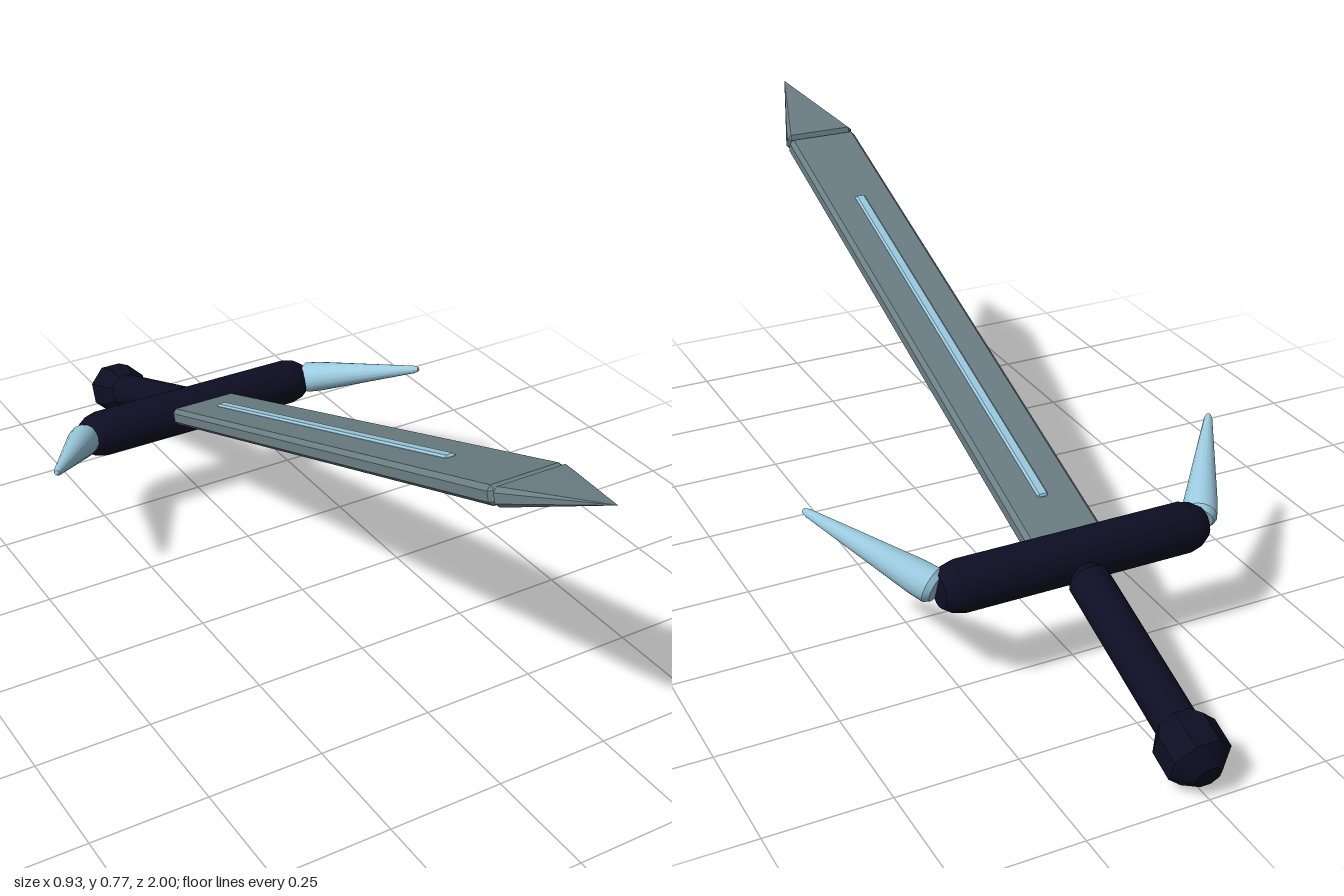
import * as THREE from 'three';
import { toCreasedNormals } from 'three/addons/utils/BufferGeometryUtils.js';
import { ConvexGeometry } from 'three/addons/geometries/ConvexGeometry.js';

const mat = (name, color) => {
  const m = new THREE.MeshStandardMaterial({ color });
  m.name = name;
  return m;
};

// Turned part from [radius, height] pairs, listed bottom to top
const turned = (profile, sides, crease = 0.6) =>
  toCreasedNormals(
    new THREE.LatheGeometry(profile.map(([r, y]) => new THREE.Vector2(r, y)), sides),
    crease
  );

// Box with every edge cut at 45 degrees, given half sizes and cut width
const chamferBox = (x, y, z, b) => {
  const pts = [];
  for (const i of [-1, 1]) for (const j of [-1, 1]) for (const k of [-1, 1]) {
    pts.push(
      new THREE.Vector3(i * x, j * (y - b), k * (z - b)),
      new THREE.Vector3(i * (x - b), j * y, k * (z - b)),
      new THREE.Vector3(i * (x - b), j * (y - b), k * z)
    );
  }
  return new ConvexGeometry(pts);
};

export function createModel() {
  const steel = mat('steel grey', 0x6b7e84);
  const ice = mat('pale blue', 0x9ccbe0);
  const dark = mat('midnight navy', 0x0e0e24);

  // The sword is built upright, with the guard at the origin, then tilted forward
  const sword = new THREE.Group();
  sword.name = 'sword';
  const add = (name, geometry, material, y = 0) => {
    const mesh = new THREE.Mesh(geometry, material);
    mesh.name = name;
    mesh.position.y = y;
    sword.add(mesh);
    return mesh;
  };

  // Blade with a raised strip showing on both faces
  const w = 0.082, t = 0.019, cut = 0.009;
  add('blade', chamferBox(w, 0.674, t, cut), steel, 0.674);
  add('bladeStrip', chamferBox(0.012, 0.482, 0.024, 0.004), ice, 0.625);

  // Pointed tip with a chamfered base
  const tip = [new THREE.Vector3(0, 0.243, 0)];
  for (const i of [-1, 1]) for (const k of [-1, 1]) {
    tip.push(
      new THREE.Vector3(i * (w - cut), 0, k * (t - cut)),
      new THREE.Vector3(i * w, cut, k * (t - cut)),
      new THREE.Vector3(i * (w - cut), cut, k * t)
    );
  }
  add('bladeTip', new ConvexGeometry(tip), steel, 1.349);

  // Crossguard
  const guard = turned([[0, -0.29], [0.034, -0.29], [0.046, -0.272], [0.053, -0.245],
    [0.053, 0.245], [0.046, 0.272], [0.034, 0.29], [0, 0.29]], 16, 0.45);
  add('crossguard', guard, dark).rotation.z = Math.PI / 2;

  // Grip and pommel
  add('grip', turned([[0, -0.44], [0.042, -0.44], [0.042, -0.062], [0.03, -0.045],
    [0, -0.045]], 16, 0.45), dark);
  add('pommel', turned([[0, -0.062], [0.028, -0.062], [0.064, -0.03], [0.064, 0.03],
    [0.04, 0.062], [0, 0.062]], 8), dark, -0.468).rotation.y = Math.PI / 8;

  // Tapered horns sweeping out from the guard ends
  const hornGeometry = turned([[0, 0], [0.028, 0], [0.036, 0.012], [0.035, 0.045],
    [0.009, 0.295], [0.005, 0.307], [0, 0.309]], 16, 0.45);
  for (const side of [1, -1]) {
    const horn = add(side > 0 ? 'leftHorn' : 'rightHorn', hornGeometry, ice, 0.008);
    horn.position.x = side * 0.29;
    horn.rotation.z = -side * 0.59;
  }

  sword.rotation.x = THREE.MathUtils.degToRad(70);
  sword.position.set(0, 0.228, -0.495);

  const model = new THREE.Group();
  model.name = 'tiltedSword';
  model.add(sword);
  return model;
}
